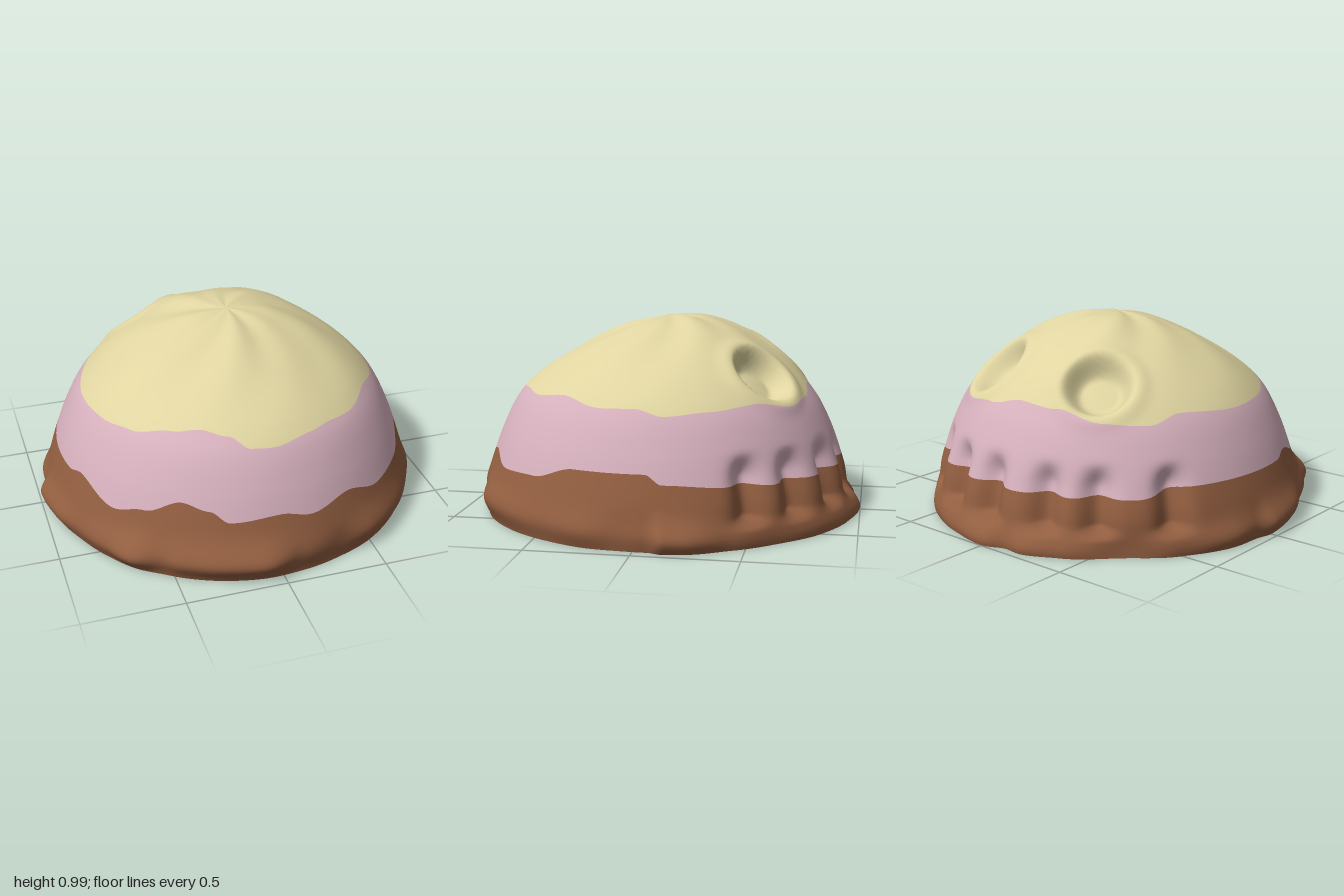
import * as THREE from 'three';

const SEG = 288;
const { smoothstep, degToRad } = THREE.MathUtils;

// Smooth periodic lookup in a flat list of [degrees, value, ...]
function around(list, deg) {
  const n = list.length / 2;
  for (let i = 0; i < n; i++) {
    const a = list[2 * i];
    const last = i === n - 1;
    const b = last ? list[0] + 360 : list[2 * i + 2];
    const d = deg < list[0] ? deg + 360 : deg;
    if (d >= a && d <= b) {
      const t = smoothstep(d, a, b);
      return list[2 * i + 1] * (1 - t) + list[last ? 1 : 2 * i + 3] * t;
    }
  }
  return list[1];
}

// Angles run from the front (+z) towards +x
const rimRadius = [6, 0.955, 19, 0.94, 31, 0.977, 46, 0.97, 62, 0.96, 75, 0.97, 86, 0.95, 94, 0.955,
  98, 1.0, 104, 1.0, 118, 0.96, 132, 0.95, 149, 0.97, 165, 0.98, 180, 1.0, 187, 0.965, 193, 0.99,
  204, 0.967, 222, 0.925, 237, 0.955, 255, 0.98, 264, 0.965, 270, 1.0, 282, 0.99, 294, 0.967,
  305, 0.98, 316, 1.015, 325, 0.97, 331, 0.985, 343, 0.996, 354, 1.005];
const lowerEdge = [0, 0.32, 10, 0.29, 24, 0.33, 38, 0.275, 55, 0.285, 70, 0.345, 93, 0.345, 98, 0.3,
  120, 0.28, 135, 0.27, 180, 0.27, 225, 0.27, 245, 0.31, 262, 0.31, 282, 0.31, 289, 0.335,
  306, 0.27, 317, 0.31, 329, 0.38, 338, 0.35, 344, 0.3];
const upperEdge = [0, 0.605, 16, 0.63, 25, 0.64, 39, 0.63, 56, 0.65, 74, 0.615, 88, 0.62, 98, 0.59,
  114, 0.605, 132, 0.62, 150, 0.585, 165, 0.61, 180, 0.645, 198, 0.63, 215, 0.585, 231, 0.58,
  243, 0.62, 270, 0.6, 290, 0.605, 305, 0.62, 321, 0.66, 333, 0.68, 344, 0.66, 352, 0.61];
const grooves = [124, 141, 160, 178, 198, 214, 236];
const sockets = [-0.32, 0.32].map((x) => new THREE.Vector3(x, 0.73, -0.52));

const profile = new THREE.CatmullRomCurve3([
  [0.93, 0], [0.93, 0.1], [0.925, 0.19], [0.89, 0.31], [0.84, 0.44], [0.77, 0.575], [0.69, 0.67],
  [0.6, 0.748], [0.5, 0.817], [0.4, 0.875], [0.3, 0.92], [0.2, 0.955], [0.1, 0.973], [0, 0.98],
].map(([r, y]) => new THREE.Vector3(r, y, 0)));

// Curve parameter at a given height
function paramAt(y) {
  let lo = 0, hi = 1;
  for (let k = 0; k < 22; k++) {
    const mid = (lo + hi) / 2;
    if (profile.getPoint(mid).y < y) lo = mid; else hi = mid;
  }
  return lo;
}

function surfacePoint(u, deg) {
  const th = degToRad(deg);
  const p = profile.getPoint(u);
  const y0 = Math.max(0, p.y);
  let r = Math.max(0, p.x), y = y0;

  // Irregular swollen rim, highest at the front and flared at the back
  const peak = 0.065 + 0.045 * Math.cos(th);
  r += (around(rimRadius, deg) - 0.93) * Math.exp(-(((y0 - peak) / 0.08) ** 2));

  // Row of upright grooves at the back
  const window = smoothstep(y0, 0.08, 0.14) * (1 - smoothstep(y0, 0.3, 0.44));
  for (const g of grooves) r -= 0.075 * window * Math.exp(-(((deg - g) / 4.5) ** 2));

  // Crown is fuller at the back and gently lumpy
  if (r < 0.75) {
    const swell = Math.sin((Math.PI * r) / 0.75);
    y += swell * (-0.03 * Math.cos(th) + 0.007 * Math.cos(5 * th + 0.6) + 0.005 * Math.sin(8 * th + 9 * r));
  }
  const v = new THREE.Vector3(r * Math.sin(th), y, r * Math.cos(th));

  // Two round sockets with slightly raised lips
  for (const c of sockets) {
    const d = v.distanceTo(c);
    const push = 0.1 * (1 - smoothstep(d, 0.09, 0.18)) - 0.012 * Math.exp(-(((d - 0.2) / 0.04) ** 2));
    if (d < 0.35) v.addScaledVector(c.clone().normalize(), -push);
  }
  return v;
}

export function createModel() {
  const group = new THREE.Group();
  group.name = 'hollowDome';
  const material = (name, color) => {
    const m = new THREE.MeshStandardMaterial({ color, side: THREE.DoubleSide });
    m.name = name;
    return m;
  };
  const materials = [material('brown', 0x925e40), material('pink', 0xd5b0bc), material('cream', 0xe0d5a1)];

  // Rows in each colour band: brown base, pink middle, cream crown
  const rows = [26, 18, 42];
  const total = rows[0] + rows[1] + rows[2];
  const positions = [], index = [];
  const columns = [];
  for (let i = 0; i < SEG; i++) {
    const deg = (i * 360) / SEG;
    const stops = [0, paramAt(around(lowerEdge, deg)), paramAt(around(upperEdge, deg)), 1];
    const column = [];
    rows.forEach((n, b) => {
      for (let k = 0; k < n; k++) column.push(surfacePoint(stops[b] + ((stops[b + 1] - stops[b]) * k) / n, deg));
    });
    columns.push(column);
  }
  for (let j = 0; j < total; j++) for (const column of columns) positions.push(...column[j].toArray());
  positions.push(...surfacePoint(1, 0).toArray());

  const apex = total * SEG;
  for (let j = 0; j < total; j++) {
    for (let i = 0; i < SEG; i++) {
      const n = (i + 1) % SEG;
      const a = j * SEG + i, b = j * SEG + n;
      if (j === total - 1) index.push(a, b, apex);
      else index.push(a, b, b + SEG, a, b + SEG, a + SEG);
    }
  }

  const geometry = new THREE.BufferGeometry();
  geometry.setAttribute('position', new THREE.Float32BufferAttribute(positions, 3));
  geometry.setIndex(index);
  let start = 0;
  rows.forEach((n, b) => {
    const count = b < 2 ? n * SEG * 6 : index.length - start;
    geometry.addGroup(start, count, b);
    start += count;
  });
  geometry.computeVertexNormals();

  const shell = new THREE.Mesh(geometry, materials);
  shell.name = 'domeShell';
  group.add(shell);
  return group;
}
